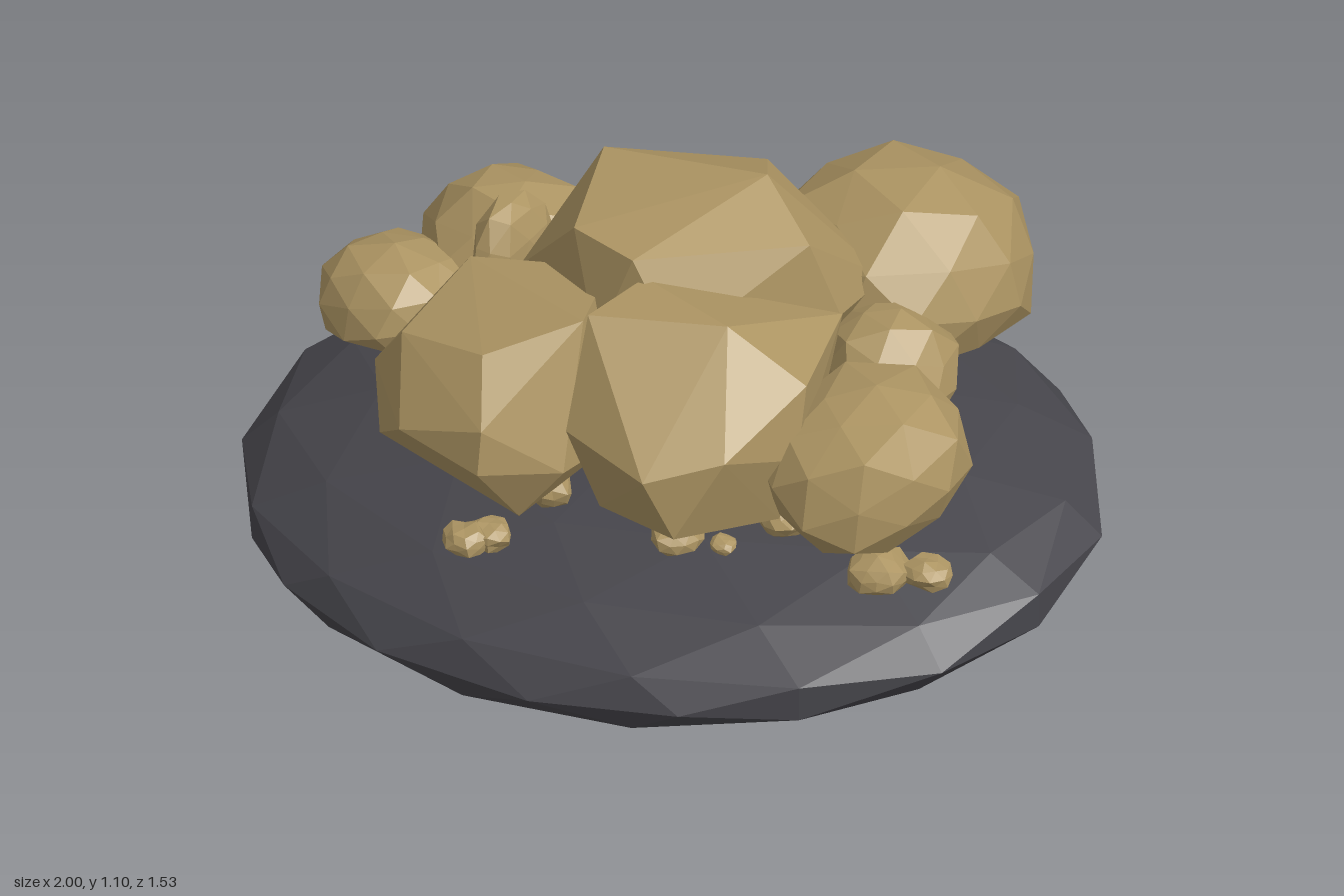
import * as THREE from 'three';
import { ConvexGeometry } from 'three/addons/geometries/ConvexGeometry.js';

const rockMaterial = new THREE.MeshStandardMaterial({ color: 0xad9563, flatShading: true });
rockMaterial.name = 'sandy rock';
const slabMaterial = new THREE.MeshStandardMaterial({ color: 0x47464c, flatShading: true });
slabMaterial.name = 'dark slate';

// Repeatable value in 0..1 from a direction, so shared corners move together
function hash(v, seed) {
  const k = Math.round(v.x * 100) * 12.9898 + Math.round(v.y * 100) * 78.233 +
    Math.round(v.z * 100) * 37.719 + seed * 17.13;
  const s = Math.sin(k) * 43758.5453;
  return s - Math.floor(s);
}

function moveVertices(geometry, rule) {
  const p = geometry.attributes.position;
  const v = new THREE.Vector3();
  for (let i = 0; i < p.count; i++) {
    v.fromBufferAttribute(p, i);
    rule(v);
    p.setXYZ(i, v.x, v.y, v.z);
  }
  geometry.computeVertexNormals();
  return geometry;
}

// Centre a geometry and scale it to the given half sizes
function fit(g, rx, ry, rz) {
  g.center();
  g.computeBoundingBox();
  const b = g.boundingBox.max;
  return g.scale(rx / b.x, ry / b.y, rz / b.z);
}

// Faceted stone with uneven corners; block above 2 squares it off
function stone(name, [x, y, z], [rx, ry, rz], block, seed, rough = 0.16) {
  const g = moveVertices(new THREE.IcosahedronGeometry(1, 1), (v) => {
    v.multiplyScalar(1 - rough * hash(v, seed));
  });
  g.rotateY(seed * 1.7);
  g.rotateX(seed * 0.9);
  fit(g, 1, 1, 1);
  moveVertices(g, (v) => {
    const norm = (Math.abs(v.x) ** block + Math.abs(v.y) ** block + Math.abs(v.z) ** block) ** (1 / block);
    v.multiplyScalar(v.length() / norm);
  });
  fit(g, rx, ry, rz);
  g.computeVertexNormals();
  const mesh = new THREE.Mesh(g, rockMaterial);
  mesh.name = name;
  mesh.position.set(x, y, z);
  return mesh;
}

// Angular boulder spanned by its main corners
function hewnBoulder(name, corners) {
  const g = new ConvexGeometry(corners.map((c) => new THREE.Vector3(...c)));
  const mesh = new THREE.Mesh(g, rockMaterial);
  mesh.name = name;
  return mesh;
}

export function createModel() {
  const model = new THREE.Group();
  model.name = 'rockPile';

  // Tilted, flattened slab
  const slabShape = new THREE.IcosahedronGeometry(1, 2).rotateY(Math.PI / 2);
  moveVertices(slabShape, (v) => {
    v.set(1.02 * v.x - 0.07 * v.z, 0.247 + 0.07 * v.x + 0.215 * v.y - 0.1 * v.z, 0.78 * v.z);
  });
  const slab = new THREE.Mesh(slabShape, slabMaterial);
  slab.name = 'slab';
  model.add(slab);

  const boulders = new THREE.Group();
  boulders.name = 'boulders';

  // Three large boulders: crown, waist and foot corners
  boulders.add(hewnBoulder('centreBoulder', [
    [-0.22, 1.065, -0.05], [-0.1, 1.06, 0.24], [0.08, 1.06, 0.27], [0.17, 1.1, -0.13],
    [0.34, 1.02, -0.05], [0.08, 1.03, -0.26], [-0.36, 0.8, -0.06], [-0.27, 0.75, -0.38],
    [0, 0.78, -0.46], [0.34, 0.76, -0.35], [0.39, 0.82, -0.1], [0.2, 0.87, 0.27],
    [0, 0.82, 0.3], [-0.31, 0.82, 0.15], [-0.25, 0.5, -0.25], [0.2, 0.5, -0.3], [0, 0.5, 0.2],
  ]));
  boulders.add(hewnBoulder('frontBoulder', [
    [-0.34, 0.92, 0.3], [0.05, 0.97, 0.42], [-0.1, 0.92, 0.6], [-0.34, 0.87, 0.57], [-0.1, 0.87, 0.1],
    [-0.49, 0.67, 0.46], [-0.46, 0.76, 0.2], [-0.02, 0.81, 0.72], [-0.02, 0.7, 0.735],
    [-0.25, 0.72, 0.71], [0.1, 0.66, 0.57], [0.08, 0.6, 0.3],
    [-0.4, 0.57, 0.57], [-0.15, 0.48, 0.42], [-0.4, 0.55, 0.2], [0, 0.52, 0.6],
  ]));
  boulders.add(hewnBoulder('frontLeftBoulder', [
    [0.07, 1, 0.43], [0.1, 1.01, 0.25], [0.36, 1.01, 0.3], [0.54, 0.89, 0.25], [0.43, 0.87, -0.05],
    [0.15, 0.8, 0], [0.55, 0.72, 0.3], [0.49, 0.8, 0.5], [0.1, 0.77, 0.56], [0.35, 0.76, 0.62],
    [0.4, 0.6, 0.57], [0.5, 0.54, 0.3], [0.15, 0.55, 0.5], [0.3, 0.49, 0.3], [0.06, 0.6, 0.3],
    [0.4, 0.6, 0],
  ]));

  // Rounder boulders: name, centre, half sizes, blockiness
  [
    ['leftBoulder', [0.64, 0.67, 0.17], [0.215, 0.18, 0.25], 2.4],
    ['leftBackBoulder', [0.45, 0.64, -0.2], [0.165, 0.15, 0.155], 2.2],
    ['backBoulder', [0.28, 0.71, -0.48], [0.3, 0.22, 0.285], 2.2],
    ['rightBoulder', [-0.635, 0.635, 0.18], [0.185, 0.135, 0.175], 2],
    ['rightBackBoulder', [-0.5, 0.67, -0.08], [0.195, 0.17, 0.2], 2.2],
    ['backRightBoulder', [-0.28, 0.61, -0.4], [0.15, 0.12, 0.145], 2.2],
    ['shardBoulder', [-0.4, 0.77, 0.06], [0.07, 0.14, 0.13], 2],
  ].forEach(([name, at, size, block], i) => boulders.add(stone(name, at, size, block, i + 4)));
  model.add(boulders);

  // Scattered pebbles: x, y, z, radius
  const pebbles = new THREE.Group();
  pebbles.name = 'pebbles';
  [
    [-0.73, 0.43, -0.44, 0.036],
    [-0.48, 0.445, -0.39, 0.072],
    [-0.09, 0.47, -0.51, 0.015],
    [-0.1, 0.475, -0.4, 0.015],
    [-0.62, 0.435, -0.11, 0.058],
    [-0.27, 0.44, 0.14, 0.06],
    [-0.12, 0.43, 0.63, 0.055],
    [-0.08, 0.43, 0.59, 0.05],
    [-0.07, 0.44, 0.38, 0.06],
    [0.26, 0.44, 0.36, 0.065],
    [0.37, 0.435, 0.33, 0.03],
    [0.45, 0.465, 0.2, 0.06],
    [0.71, 0.435, 0.21, 0.075],
    [0.81, 0.435, 0.16, 0.055],
  ].forEach(([x, y, z, r], i) =>
    pebbles.add(stone('pebble', [x, y, z], [r, r * 0.68, r], 2, i + 21, 0.25)));
  model.add(pebbles);

  return model;
}
